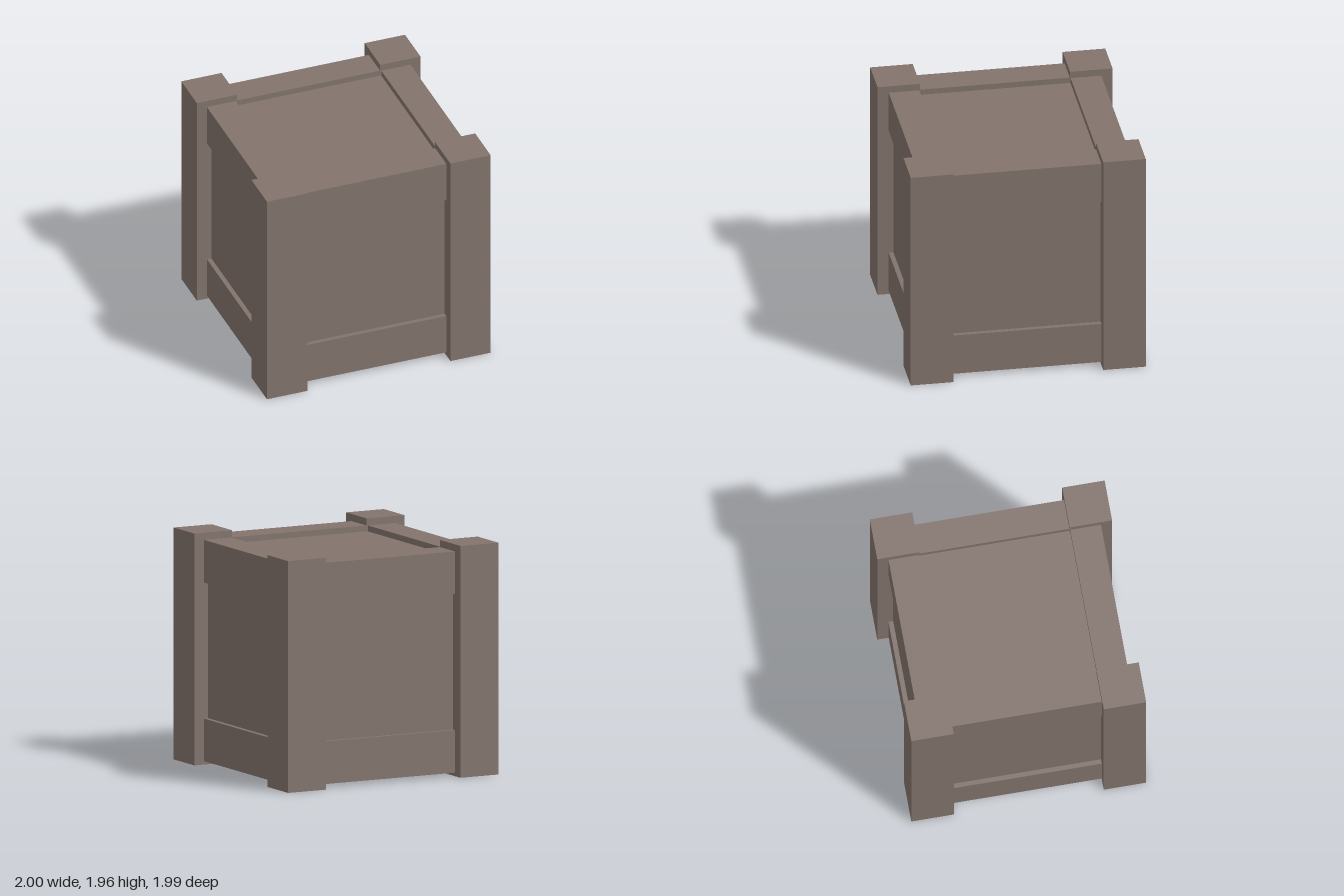
import * as THREE from 'three';

export function createModel() {
  const crate = new THREE.Group();
  crate.name = 'crate';
  const wood = new THREE.MeshStandardMaterial({ color: 0x83746d });
  wood.name = 'weathered wood';

  // Box given by its lower and upper corners
  function addBox(name, min, max) {
    const size = max.map((v, i) => v - min[i]);
    const mesh = new THREE.Mesh(new THREE.BoxGeometry(...size), wood);
    mesh.position.set(...max.map((v, i) => (v + min[i]) / 2));
    mesh.name = name;
    crate.add(mesh);
  }

  const postX = 0.64, postZ = 0.635; // inner faces of the corner posts

  // Recessed core forming all six panels
  addBox('panels', [-0.87, 0.08, -0.86], [0.87, 1.85, 0.86]);

  // Corner posts
  for (const sx of [-1, 1]) {
    for (const sz of [-1, 1]) {
      const x = [sx * postX, sx], z = [sz * postZ, sz * 0.995];
      addBox('cornerPost', [Math.min(...x), 0, Math.min(...z)], [Math.max(...x), 1.96, Math.max(...z)]);
    }
  }

  // Upper and lower rails on each side
  for (const [label, y0, y1] of [['lower', 0.03, 0.39], ['upper', 1.54, 1.9]]) {
    for (const s of [-1, 1]) {
      const z = [s * 0.64, s * 0.9];
      addBox(label + (s > 0 ? 'FrontRail' : 'BackRail'),
        [-postX, y0, Math.min(...z)], [postX, y1, Math.max(...z)]);
      const x = [s * 0.65, s * 0.91];
      addBox(label + (s > 0 ? 'LeftRail' : 'RightRail'),
        [Math.min(...x), y0, -postZ], [Math.max(...x), y1, postZ]);
    }
  }
  return crate;
}
